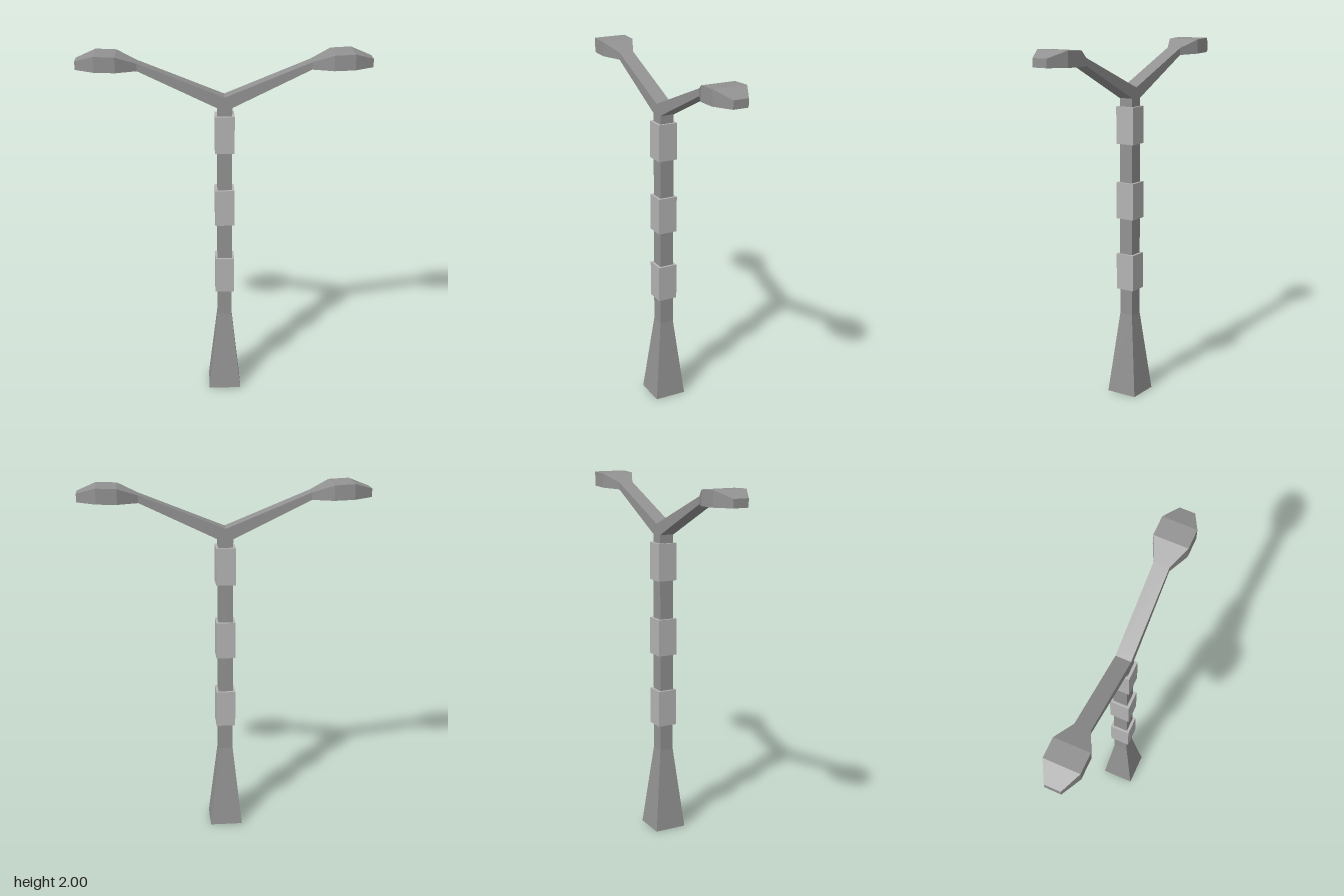
import * as THREE from 'three';

const flat = (color) => new THREE.MeshStandardMaterial({ color, flatShading: true, side: THREE.DoubleSide });
const darkMetal = flat(0x929292);
const lightMetal = flat(0xb4b4b4);
const lensGrey = flat(0xcccccc);

// Push a flat quad (corners counter-clockwise seen from outside)
function quad(out, a, b, c, d) {
  for (const p of [a, b, c, a, c, d]) out.push(...p);
}

function meshFrom(positions, name, material) {
  const geometry = new THREE.BufferGeometry();
  geometry.setAttribute('position', new THREE.Float32BufferAttribute(positions, 3));
  geometry.computeVertexNormals();
  const mesh = new THREE.Mesh(geometry, material);
  mesh.name = name;
  return mesh;
}

// Rectangular cross-sections along the arm: [x, top y, bottom y, half width]
const armSections = [[0, 1.763, 1.705, 0.042], [0.04, 1.779, 1.705, 0.042], [0.46, 1.95, 1.91, 0.042]];
const headSections = [
  armSections[2],
  [0.57, 1.995, 1.9134, 0.094],
  [0.68, 2.0, 1.9169, 0.094],
  [0.782, 1.965, 1.92, 0.042],
];
const ring = ([x, top, bottom, h]) => [[x, top, -h], [x, top, h], [x, bottom, h], [x, bottom, -h]];

// Join neighbouring sections, optionally leaving the underside open
function loft(out, sections, openBelow) {
  for (let i = 0; i < sections.length - 1; i++) {
    const a = ring(sections[i]), b = ring(sections[i + 1]);
    for (let j = 0; j < 4; j++) {
      if (openBelow && j === 2) continue;
      const k = (j + 1) % 4;
      quad(out, a[j], a[k], b[k], b[j]);
    }
  }
}

function createArm() {
  const out = [];
  loft(out, armSections, false);
  return meshFrom(out, 'arm', darkMetal);
}

function createLampHead() {
  const out = [];
  loft(out, headSections, true);
  quad(out, ...ring(headSections[headSections.length - 1]));

  // Underside: flat rim and recess walls
  const outline = [
    ...headSections.map(([x, , y, h]) => [x, y, -h]),
    ...headSections.slice().reverse().map(([x, , y, h]) => [x, y, h]),
  ];
  const inset = (scale, rise) => outline.map(([x, y, z]) => [
    0.62 + (x - 0.62) * scale, 1.915 + (y - 1.915) * scale + rise, z * scale,
  ]);
  const rings = [outline, inset(0.7, 0), inset(0.66, 0.03)];
  for (let r = 0; r < 2; r++) {
    for (let j = 0; j < 8; j++) {
      const k = (j + 1) % 8;
      quad(out, rings[r][j], rings[r][k], rings[r + 1][k], rings[r + 1][j]);
    }
  }

  // Lens closing the recess
  const lens = [];
  for (let j = 1; j < 7; j++) lens.push(...rings[2][0], ...rings[2][j], ...rings[2][j + 1]);

  const head = new THREE.Group();
  head.name = 'lampHead';
  head.add(meshFrom(out, 'housing', darkMetal), meshFrom(lens, 'lens', lensGrey));
  return head;
}

// Square tube with open ends, tapering between two half widths
function squareTube(name, y0, y1, half0, half1) {
  const geometry = new THREE.CylinderGeometry(half1 * Math.SQRT2, half0 * Math.SQRT2, y1 - y0, 4, 1, true);
  geometry.rotateY(Math.PI / 4);
  geometry.translate(0, (y0 + y1) / 2, 0);
  const mesh = new THREE.Mesh(geometry, darkMetal);
  mesh.name = name;
  return mesh;
}

export function createModel() {
  const model = new THREE.Group();
  model.name = 'streetLamp';

  // Flared foot and straight pole
  model.add(squareTube('base', 0, 0.47, 0.091, 0.04));
  model.add(squareTube('pole', 0.47, 1.705, 0.04, 0.04));

  // Thicker collars around the pole
  for (const y of [0.723, 1.134, 1.556]) {
    const collar = new THREE.Mesh(new THREE.BoxGeometry(0.106, 0.206, 0.11), lightMetal);
    collar.position.y = y;
    collar.name = 'collar';
    model.add(collar);
  }

  // Two opposite arms, each with a lamp head
  for (const [name, angle] of [['leftLamp', 0], ['rightLamp', Math.PI]]) {
    const lamp = new THREE.Group();
    lamp.name = name;
    lamp.add(createArm(), createLampHead());
    lamp.rotation.y = angle;
    model.add(lamp);
  }
  return model;
}
